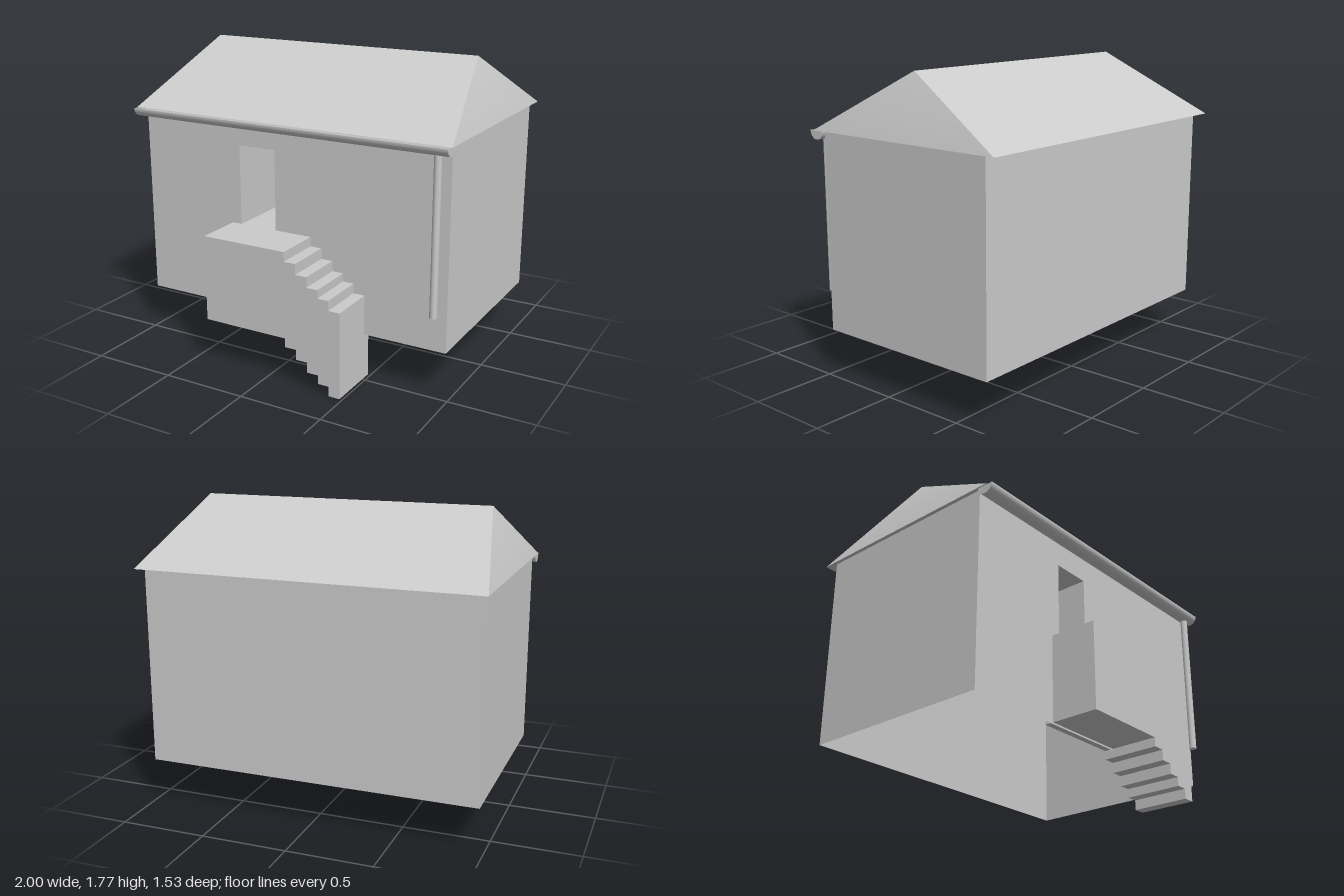
import * as THREE from 'three';

const solid = new THREE.MeshStandardMaterial({ color: 0xcccccc });
const thin = new THREE.MeshStandardMaterial({ color: 0xcccccc, side: THREE.DoubleSide });

function add(parent, name, geometry, material = solid) {
  const mesh = new THREE.Mesh(geometry, material);
  mesh.name = name;
  parent.add(mesh);
  return mesh;
}

function rectangle(Path, x0, x1, y0, y1) {
  return new Path([[x0, y0], [x1, y0], [x1, y1], [x0, y1]].map(p => new THREE.Vector2(...p)));
}

// Box given by its limits, leaving out some sides (0 +x, 1 -x, 2 +y, 3 -y, 4 +z, 5 -z)
function openBox([x0, x1], [y0, y1], [z0, z1], skipped) {
  const geometry = new THREE.BoxGeometry(x1 - x0, y1 - y0, z1 - z0);
  geometry.translate((x0 + x1) / 2, (y0 + y1) / 2, (z0 + z1) / 2);
  const index = Array.from(geometry.index.array);
  geometry.setIndex(index.filter((_, i) => !skipped.includes(Math.floor(i / 6))));
  geometry.clearGroups();
  return geometry;
}

function faces(corners, index) {
  const geometry = new THREE.BufferGeometry();
  geometry.setAttribute('position', new THREE.Float32BufferAttribute(corners.flat(), 3));
  geometry.setIndex(index);
  return geometry;
}

// Walls open at the bottom, with a deep doorway
function makeHouse() {
  const house = new THREE.Group();
  house.name = 'house';
  const x = [-0.978, 0.975], y = [0.27, 1.42], z = [-0.69, 0.483];
  const door = { x: [-0.325, -0.09], y: [0.785, 1.255] };
  add(house, 'sideAndBackWalls', openBox(x, y, z, [2, 3, 4]), thin);

  const front = rectangle(THREE.Shape, ...x, ...y);
  front.holes.push(rectangle(THREE.Path, ...door.x, ...door.y));
  add(house, 'frontWall', new THREE.ShapeGeometry(front).translate(0, 0, z[1]), thin);
  add(house, 'doorway', openBox(door.x, door.y, [-0.32, z[1]], [4]), thin);
  return house;
}

// Roof with steep, slightly bulged ends
function makeRoof() {
  const roof = new THREE.Group();
  roof.name = 'roof';
  const eave = 1.42, top = 1.775, front = 0.55, back = -0.763, mid = -0.107;
  const corners = [
    [-1, eave, front], [1, eave, front], [1, eave, back], [-1, eave, back],
    [0.86, top, mid], [-0.86, top, mid]
  ];
  const slopes = faces(corners, [0, 1, 4, 0, 4, 5, 2, 3, 5, 2, 5, 4, 0, 3, 2, 0, 2, 1]).toNonIndexed();
  slopes.computeVertexNormals();
  add(roof, 'roofSlopes', slopes);

  for (const s of [1, -1]) {
    const points = [[s, eave, front], [s, eave, back], [s * 0.86, top, mid], [s * 0.977, 1.54, mid]];
    const index = [0, 1, 3, 1, 2, 3, 2, 0, 3];
    const end = faces(points, s > 0 ? index : index.reverse());
    end.computeVertexNormals();
    add(roof, s > 0 ? 'leftRoofEnd' : 'rightRoofEnd', end);
  }
  return roof;
}

// Half-round gutter with end caps and a downpipe
function makeGutter() {
  const drain = new THREE.Group();
  drain.name = 'rainDrain';
  const r = 0.05, y = 1.418, z = 0.535, x0 = -0.995, x1 = 0.99;
  const trough = new THREE.CylinderGeometry(r, r, x1 - x0, 20, 1, true, Math.PI, Math.PI);
  trough.rotateZ(Math.PI / 2).translate((x0 + x1) / 2, y, z);
  add(drain, 'gutter', trough, thin);
  for (const x of [x0, x1]) {
    const cap = new THREE.CircleGeometry(r, 20, Math.PI, Math.PI);
    add(drain, 'gutterCap', cap.rotateY(Math.PI / 2).translate(x, y, z), thin);
  }
  const pipe = new THREE.CylinderGeometry(0.021, 0.021, 0.885, 20);
  add(drain, 'downpipe', pipe.translate(0.918, 0.9275, z));
  return drain;
}

// Landing and steps as one slab, stepped above and below
function makeStairs() {
  const edges = [0.14, 0.21, 0.28, 0.348, 0.414, 0.483];
  const tops = [0.785, 0.73, 0.668, 0.608, 0.56, 0.503];
  const bottoms = [0.28, 0.228, 0.168, 0.108, 0.057, 0];
  const starts = [-0.385, ...edges];
  const upper = [], lower = [];
  edges.forEach((x, i) => {
    upper.push([starts[i], tops[i]], [x, tops[i]]);
    lower.push([starts[i], bottoms[i]], [x, bottoms[i]]);
  });
  const outline = [...lower, ...upper.reverse()].map(p => new THREE.Vector2(...p));
  const slab = new THREE.ExtrudeGeometry(new THREE.Shape(outline), { depth: 0.333, bevelEnabled: false });
  slab.translate(0, 0, 0.43);
  const stairs = new THREE.Group();
  stairs.name = 'stairs';
  add(stairs, 'landingAndSteps', slab);
  return stairs;
}

export function createModel() {
  const model = new THREE.Group();
  model.name = 'houseWithStairs';
  model.add(makeHouse(), makeRoof(), makeGutter(), makeStairs());
  return model;
}
